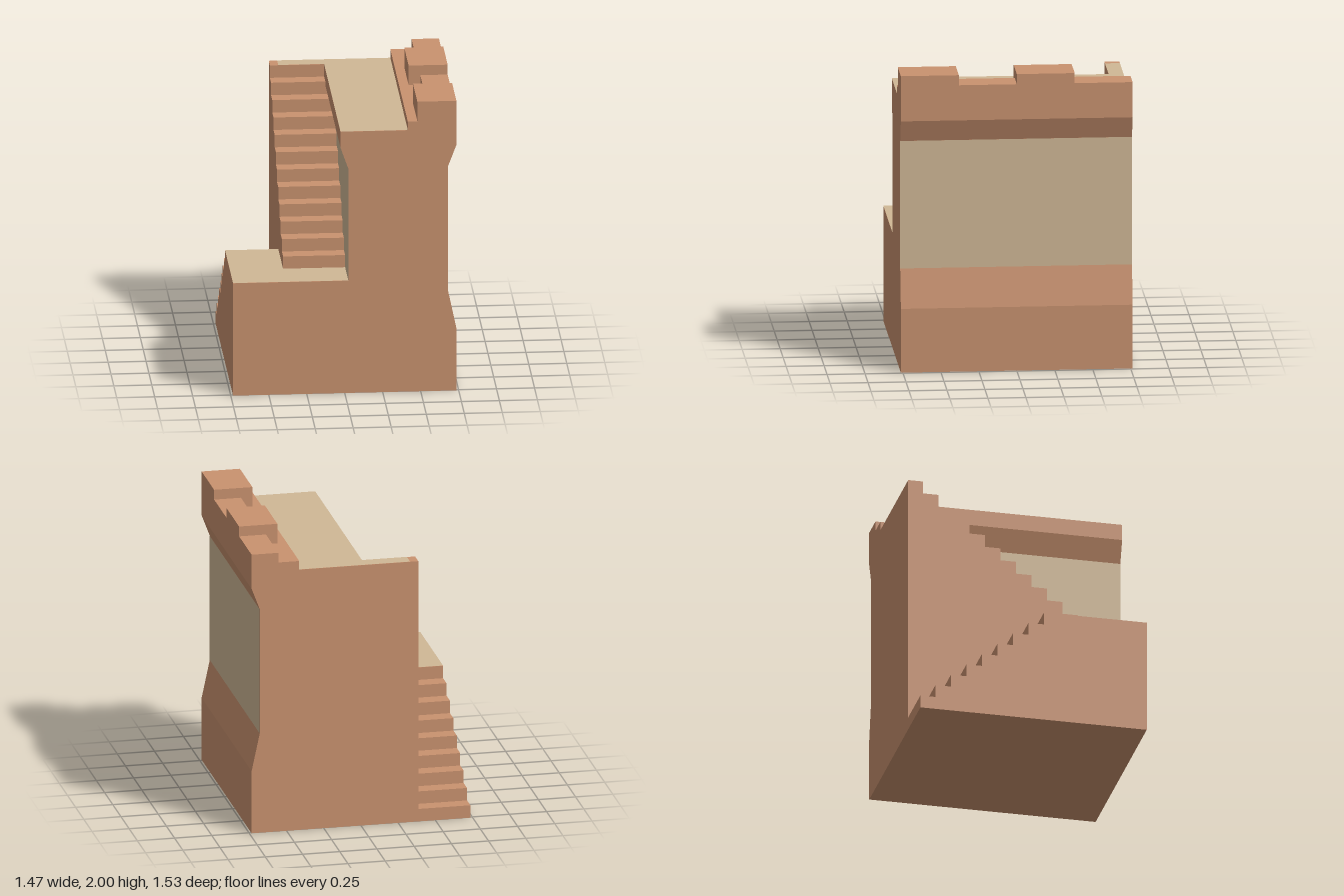
import * as THREE from 'three';

const brick = new THREE.MeshStandardMaterial({ color: 0xc9926f });
brick.name = 'brick';
const sand = new THREE.MeshStandardMaterial({ color: 0xd0b896 });
sand.name = 'sand plaster';

const D = 0.763;              // half depth
const LEFT = -0.735, MID = -0.385, WALL = 0.025;
const RISE = 0.0862, TREAD = 0.1045;
const PLATFORM = 9 * RISE, WALK = 1.805;
const SKIN = 0.0015;          // offset of the painted faces

export function createModel() {
  const model = new THREE.Group();
  const add = (name, geometry, material) => {
    const mesh = new THREE.Mesh(geometry, material);
    mesh.name = name;
    model.add(mesh);
    return mesh;
  };
  const extrude = (points, depth) => new THREE.ExtrudeGeometry(
    new THREE.Shape(points.map(([a, b]) => new THREE.Vector2(a, b))), { depth, bevelEnabled: false });
  // side profile (z, y) extruded between two x positions
  const alongX = (points, x0, x1) =>
    extrude(points, x1 - x0).rotateY(-Math.PI / 2).translate(x1, 0, 0);
  const box = (name, x0, x1, y0, y1, z0, z1) => add(name,
    new THREE.BoxGeometry(x1 - x0, y1 - y0, z1 - z0)
      .translate((x0 + x1) / 2, (y0 + y1) / 2, (z0 + z1) / 2), brick);
  // flat painted faces
  const floor = (name, x0, x1, z0, z1, y) => add(name,
    new THREE.PlaneGeometry(x1 - x0, z1 - z0).rotateX(-Math.PI / 2)
      .translate((x0 + x1) / 2, y + SKIN, (z0 + z1) / 2), sand);
  const panel = (name, x, y0, y1, side) => add(name,
    new THREE.PlaneGeometry(2 * D, y1 - y0).rotateY(side * Math.PI / 2)
      .translate(x + side * SKIN, (y0 + y1) / 2, 0), sand);

  // Wall with flared foot, overhanging head and parapet ledge
  add('wall', extrude([
    [WALL, 0], [0.735, 0], [0.735, 0.43], [0.68, 0.69], [0.68, 1.55], [0.735, 1.695],
    [0.735, 1.865], [0.415, 1.865], [0.415, WALK], [-0.028, WALK], [-0.028, 1.695], [WALL, 1.545],
  ], 2 * D).translate(0, 0, -D), brick);

  // Parapet: alternating low and high blocks
  for (let i = 0; i < 4; i++) {
    const z0 = -D + i * D / 2, high = i % 2 === 1;
    box(high ? 'merlon' : 'crenel', high ? 0.478 : 0.555, 0.735, 1.865, high ? 2 : 1.932, z0, z0 + D / 2);
  }

  // Upper stair climbing from the platform to the walkway
  const upper = [[-D, 0], [D, 0], [D, PLATFORM]];
  for (let i = 0; i < 12; i++) {
    const z = 0.485 - i * TREAD, y = PLATFORM + i * (WALK - PLATFORM) / 12;
    upper.push([z, y], [z, y + (WALK - PLATFORM) / 12]);
  }
  upper.push([-D, WALK]);
  add('upperStair', alongX(upper, MID, WALL), brick);

  // Lower stair dropping from the platform to the ground at the back
  const lower = [[-D, 0], [D, 0], [D, PLATFORM]];
  for (let i = 0; i < 8; i++) {
    const z = 0.07 - i * TREAD, y = PLATFORM - i * RISE;
    lower.push([z, y], [z, y - RISE]);
  }
  lower.push([-D, RISE]);
  add('lowerStair', alongX(lower, LEFT, MID), brick);

  // Sand coloured floors and wall panels
  floor('platformFloor', LEFT, MID, 0.07, D, PLATFORM);
  floor('platformFloorInner', MID, WALL, 0.485, D, PLATFORM);
  floor('walkwayFloor', -0.028, 0.415, -D, D, WALK);
  floor('stairLandingFloor', -0.33, -0.028, -D, -0.665, WALK);
  panel('outerPanel', 0.68, 0.69, 1.55, 1);
  panel('innerPanel', WALL, PLATFORM, 1.545, -1);

  return model;
}
